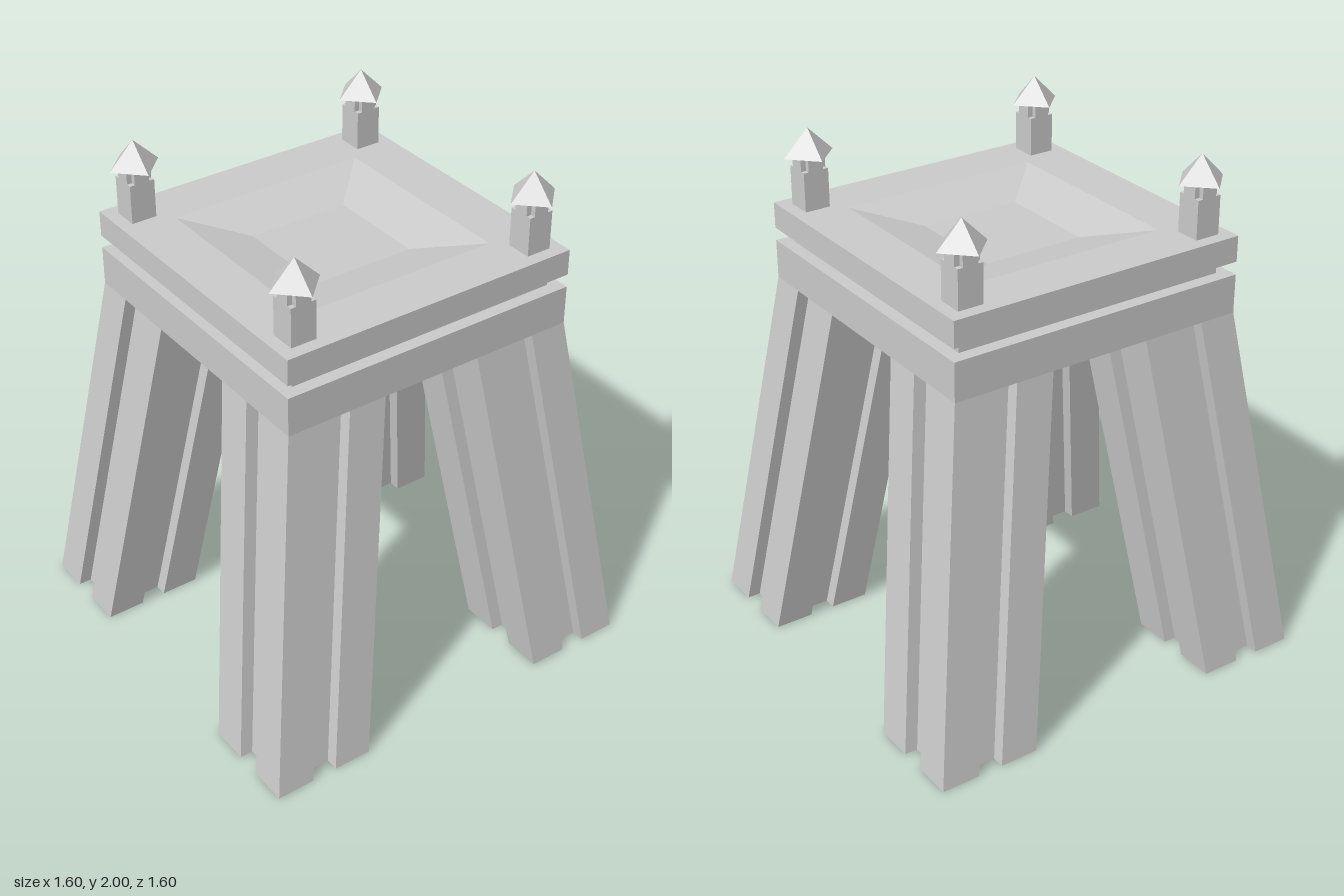
import * as THREE from 'three';

const material = new THREE.MeshStandardMaterial({ color: 0xcccccc, flatShading: true });

function part(name, geometry, parent) {
  const flat = geometry.index ? geometry.toNonIndexed() : geometry;
  flat.computeVertexNormals();
  const mesh = new THREE.Mesh(flat, material);
  mesh.name = name;
  parent.add(mesh);
  return mesh;
}

// Square-plan solid from a profile of [half width, height] pairs
function squareLathe(profile) {
  const points = profile.map(([r, y]) => new THREE.Vector2(r * Math.SQRT2, y));
  return new THREE.LatheGeometry(points, 4, Math.PI / 4);
}

// Upright prism whose outline is one quarter repeated four times
function prism(quarter, height) {
  const points = [];
  for (let i = 0; i < 4; i++) {
    for (const [x, y] of quarter) {
      points.push(new THREE.Vector2(x, y).rotateAround(new THREE.Vector2(), i * Math.PI / 2));
    }
  }
  return new THREE.ExtrudeGeometry(new THREE.Shape(points), { depth: height, bevelEnabled: false })
    .rotateX(-Math.PI / 2);
}

// Leg with a groove down each side, sheared toward the centre as it rises
function legGeometry(sx, sz) {
  const g = prism([[0.2, -0.2], [0.2, -0.05], [0.15, -0.05], [0.15, 0.05], [0.2, 0.05]], 1.4);
  const p = g.attributes.position;
  for (let i = 0; i < p.count; i++) {
    const centre = 0.6 - 0.2 * p.getY(i) / 1.4;
    p.setX(i, p.getX(i) + sx * centre);
    p.setZ(i, p.getZ(i) + sz * centre);
  }
  return g;
}

// Corner post, cross-shaped neck and pointed cap
function finial(x, z) {
  const group = new THREE.Group();
  group.name = 'finial';
  group.position.set(x, 1.7, z);
  part('post', new THREE.BoxGeometry(0.1, 0.15, 0.1).translate(0, 0.075, 0), group);
  const neck = prism([[0.05, -0.03], [0.05, 0.03], [0.03, 0.03]], 0.05);
  part('neck', neck.translate(0, 0.15, 0), group);
  part('cap', new THREE.ConeGeometry(0.1, 0.1, 4).translate(0, 0.25, 0), group);
  return group;
}

export function createModel() {
  const model = new THREE.Group();
  model.name = 'platform';

  // Stepped table with a shallow basin in its top
  part('tableTop', squareLathe([
    [0, 1.4], [0.6, 1.4], [0.6, 1.55], [0.55, 1.55], [0.55, 1.6],
    [0.6, 1.6], [0.6, 1.7], [0.4, 1.7], [0.2, 1.65], [0, 1.65],
  ]), model);

  for (const sx of [-1, 1]) {
    for (const sz of [-1, 1]) {
      part(`${sz > 0 ? 'front' : 'back'}${sx > 0 ? 'Left' : 'Right'}Leg`, legGeometry(sx, sz), model);
      model.add(finial(sx * 0.5, sz * 0.5));
    }
  }
  return model;
}
